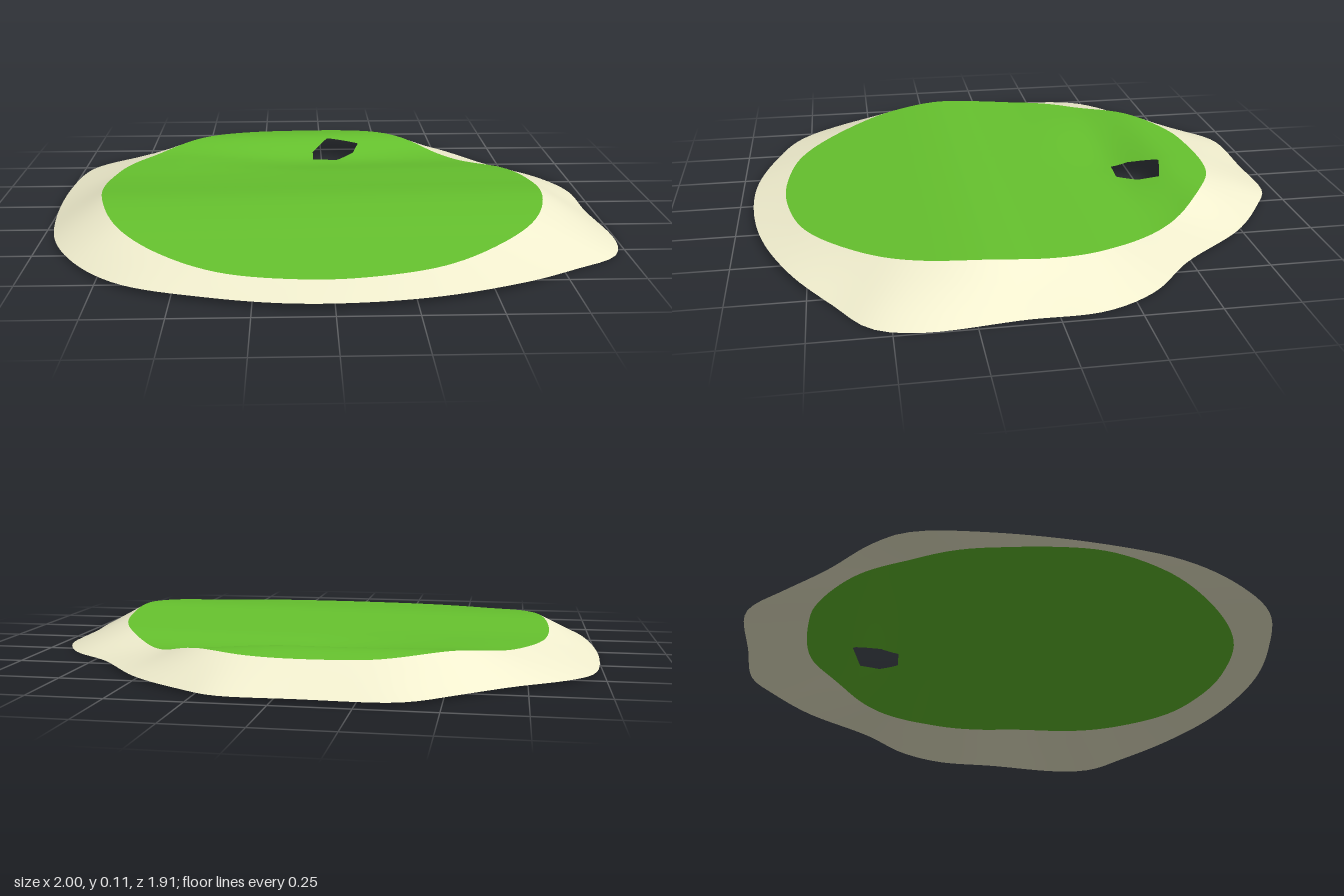
import * as THREE from 'three';

const SEGMENTS = 144;
const { smoothstep } = THREE.MathUtils;
const toPoints = (flat) => {
  const out = [];
  for (let i = 0; i < flat.length; i += 2) out.push(new THREE.Vector2(flat[i], flat[i + 1]));
  return out;
};
const smoothLoop = (flat) =>
  new THREE.CatmullRomCurve3(toPoints(flat).map((p) => new THREE.Vector3(p.x, 0, p.y)), true)
    .getPoints(300).map((p) => new THREE.Vector2(p.x, p.z));

// Outlines in plan, as x, z pairs
const outerLoop = smoothLoop([
  -0.34, -0.95, -0.08, -0.95, 0.18, -0.945, 0.3, -0.88, 0.5, -0.73, 0.7, -0.48, 0.87, -0.32,
  0.96, -0.14, 0.97, 0.1, 0.995, 0.42, 0.95, 0.56, 0.8, 0.67, 0.6, 0.8, 0.35, 0.9,
  0.1, 0.945, -0.15, 0.945, -0.4, 0.89, -0.65, 0.79, -0.82, 0.62, -0.94, 0.4, -0.99, 0.15,
  -1, -0.2, -0.96, -0.45, -0.88, -0.55, -0.7, -0.68, -0.55, -0.81, -0.42, -0.92,
]);
const rimLoop = smoothLoop([
  -0.2, -0.74, 0.05, -0.745, 0.2, -0.71, 0.4, -0.58, 0.58, -0.38, 0.72, -0.18, 0.77, 0,
  0.77, 0.25, 0.7, 0.45, 0.55, 0.62, 0.35, 0.76, 0.1, 0.825, -0.1, 0.83, -0.35, 0.78,
  -0.55, 0.65, -0.72, 0.45, -0.81, 0.2, -0.83, -0.05, -0.78, -0.28, -0.65, -0.47,
  -0.45, -0.64, -0.3, -0.72,
]);
const holeLoop = toPoints([
  -0.04, -0.41, -0.04, -0.475, 0.025, -0.58, 0.155, -0.545, 0.13, -0.47, 0.06, -0.405,
]);
const holeCentre = new THREE.Vector2(0.05, -0.49);

// Point where a ray from the centre crosses a closed outline
function hit(loop, centre, angle) {
  const dir = new THREE.Vector2(Math.cos(angle), Math.sin(angle));
  let best = 0;
  loop.forEach((p, i) => {
    const a = p.clone().sub(centre);
    const e = loop[(i + 1) % loop.length].clone().sub(p);
    const den = dir.cross(e);
    if (Math.abs(den) < 1e-9) return;
    const along = a.cross(e) / den;
    const s = a.cross(dir) / den;
    if (s >= -1e-6 && s <= 1 + 1e-6) best = Math.max(best, along);
  });
  return dir.multiplyScalar(best).add(centre);
}

// Rolling ground: a ridge in front, a valley and a ridge behind
const profile = new THREE.SplineCurve(toPoints([
  -0.8, 0.085, -0.6, 0.102, -0.4, 0.054, -0.2, 0.074, 0, 0.09,
  0.2, 0.105, 0.4, 0.093, 0.6, 0.07, 0.8, 0.05, 1, 0.03,
]));
function groundHeight(x, z) {
  const base = profile.getPoint((z + 0.8) / 1.8).y + 0.007 * x;
  const leftLift = 0.028 * smoothstep(-x, 0, 0.6) * Math.exp(-(((z + 0.38) / 0.15) ** 2));
  const rightDip = 0.03 * smoothstep(x, 0, 0.5) * Math.exp(-(((z + 0.55) / 0.12) ** 2));
  return base + leftLift - rightDip;
}
const edgeHeight = (x, z) => 0.01 - 0.01 * smoothstep(x, 0.5, 1) + 0.009 * smoothstep(z, 0.6, 0.95);

// Surface of closed rings running from an inner loop to an outer loop
function ringSurface(name, color, rings, pointAt) {
  const positions = [];
  const index = [];
  for (let j = 0; j <= rings; j++) {
    for (let i = 0; i < SEGMENTS; i++) {
      positions.push(...pointAt(i, j / rings));
      if (j === rings) continue;
      const a = j * SEGMENTS + i;
      const b = j * SEGMENTS + ((i + 1) % SEGMENTS);
      index.push(a, b, a + SEGMENTS, b, b + SEGMENTS, a + SEGMENTS);
    }
  }
  const geometry = new THREE.BufferGeometry();
  geometry.setAttribute('position', new THREE.Float32BufferAttribute(positions, 3));
  geometry.setIndex(index);
  geometry.computeVertexNormals();
  const mesh = new THREE.Mesh(geometry, new THREE.MeshStandardMaterial({ color, side: THREE.DoubleSide }));
  mesh.name = name;
  return mesh;
}

export function createModel() {
  const group = new THREE.Group();
  group.name = 'puttingGreen';
  const origin = new THREE.Vector2();
  const angles = Array.from({ length: SEGMENTS }, (_, i) => (i / SEGMENTS) * Math.PI * 2);
  const rim = angles.map((a) => hit(rimLoop, origin, a));
  const outer = angles.map((a) => hit(outerLoop, origin, a));
  const hole = rim.map((p) => hit(holeLoop, holeCentre, p.clone().sub(holeCentre).angle()));

  // Grass with the cup opening
  group.add(ringSurface('grass', 0x66c22e, 32, (i, t) => {
    const p = hole[i].clone().lerp(rim[i], t);
    return [p.x, groundHeight(p.x, p.y), p.y];
  }));

  // Sloping sand border
  group.add(ringSurface('sandBorder', 0xf2efcf, 4, (i, t) => {
    const r = rim[i];
    const o = outer[i];
    const p = r.clone().lerp(o, t);
    return [p.x, THREE.MathUtils.lerp(groundHeight(r.x, r.y), edgeHeight(o.x, o.y), t), p.y];
  }));
  return group;
}
